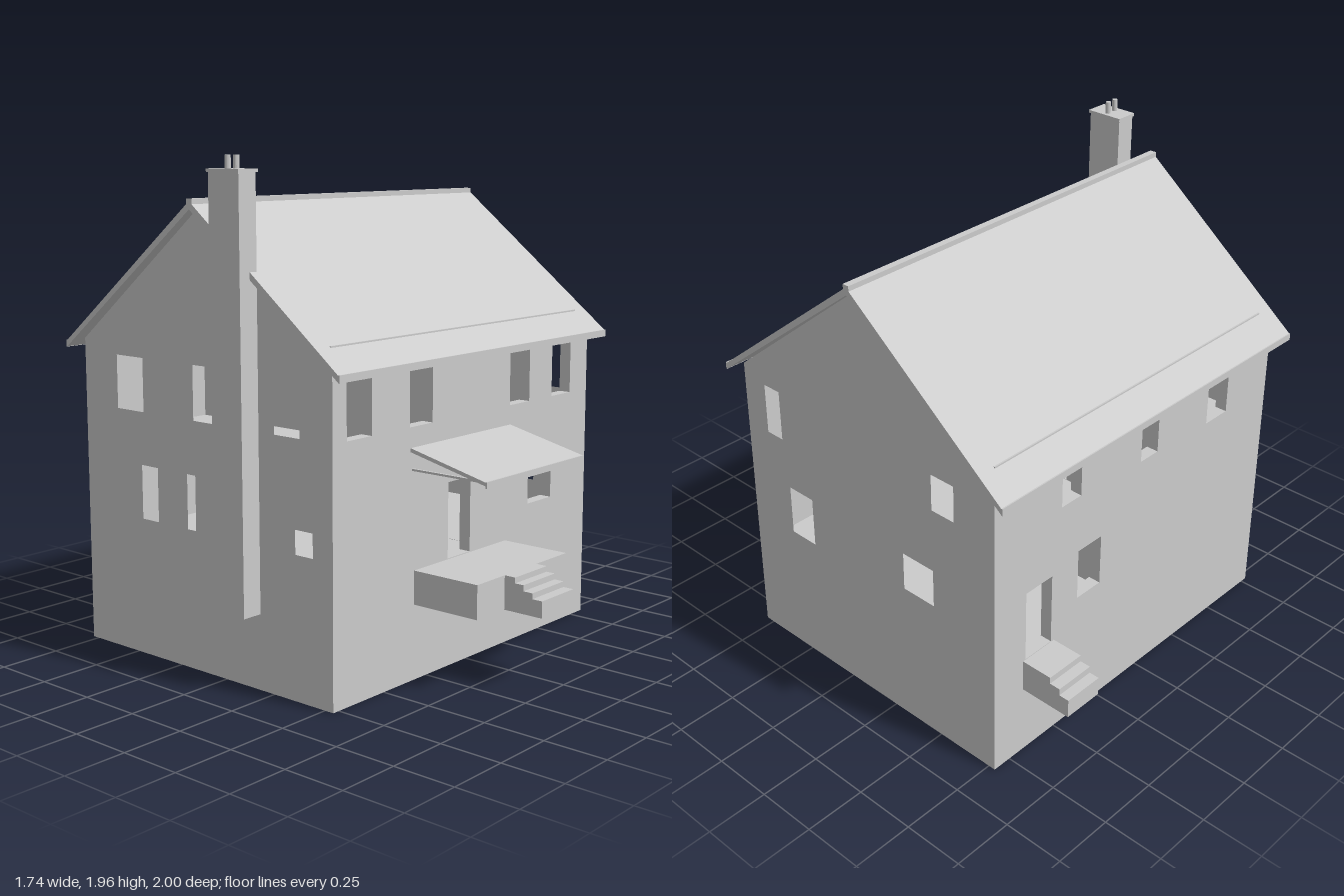
import * as THREE from 'three';

const X0 = -0.78, X1 = 0.83, Z0 = -0.78, Z1 = 0.54, T = 0.05; // wall faces and thickness
const RIDGE_Z = -0.12;

export function createModel() {
  const house = new THREE.Group();
  house.name = 'house';
  const material = new THREE.MeshStandardMaterial({ color: 0xcccccc, flatShading: true });

  const add = (name, geometry) => {
    const mesh = new THREE.Mesh(geometry, material);
    mesh.name = name;
    house.add(mesh);
    return mesh;
  };
  // box given by its limits
  const block = (name, x0, x1, y0, y1, z0, z1) =>
    add(name, new THREE.BoxGeometry(x1 - x0, y1 - y0, z1 - z0))
      .position.set((x0 + x1) / 2, (y0 + y1) / 2, (z0 + z1) / 2);
  // outline with rectangular openings [u0, u1, y0, y1], extruded
  const panel = (points, openings, depth) => {
    const shape = new THREE.Shape(points.map(p => new THREE.Vector2(...p)));
    for (const [a, b, c, d] of openings) {
      shape.holes.push(new THREE.Path([[a, c], [a, d], [b, d], [b, c]].map(p => new THREE.Vector2(...p))));
    }
    return new THREE.ExtrudeGeometry(shape, { depth, bevelEnabled: false });
  };
  // outline in (z, y), extruded from x0 to x1
  const sidePanel = (name, points, openings, x0, x1) => {
    const g = panel(points.map(([z, y]) => [-z, y]), openings.map(([a, b, c, d]) => [-b, -a, c, d]), x1 - x0);
    g.rotateY(Math.PI / 2);
    g.translate(x0, 0, 0);
    add(name, g);
  };

  // front and back walls
  const longWall = [[X0 + T, 0], [X1 - T, 0], [X1 - T, 1.237], [X0 + T, 1.237]];
  const up = [0.975, 1.187], low = [0.55, 0.765], door = [0.43, 0.73];
  add('frontWall', panel(longWall, [
    [-0.705, -0.57, ...up], [-0.355, -0.22, ...up], [0.275, 0.41, ...up], [0.57, 0.705, ...up],
    [0.41, 0.575, ...low], [-0.12, 0.02, ...door],
  ], T)).position.z = Z1 - T;
  add('backWall', panel(longWall, [
    [-0.51, -0.38, ...up], [-0.07, 0.03, 0.99, 1.18], [0.375, 0.48, 1.01, 1.18],
    [0.25, 0.38, ...low], [0.525, 0.665, ...door],
  ], T)).position.z = Z0;

  // gable walls
  const gable = [[Z0, 0], [Z1, 0], [Z1, 1.237], [RIDGE_Z, 1.765], [Z0, 1.237]];
  sidePanel('leftGableWall', gable, [
    [0.34, 0.455, 0.975, 1.185], [-0.585, -0.475, 1.03, 1.18],
    [0.185, 0.315, 0.555, 0.765], [-0.475, -0.32, 0.605, 0.765],
  ], X1 - T, X1);
  sidePanel('rightGableWall', gable, [
    [-0.59, -0.44, ...up], [-0.16, -0.04, ...up], [0.26, 0.385, ...up],
    [-0.456, -0.365, ...low], [-0.2, -0.155, ...low], [0.36, 0.445, ...low],
  ], X0, X0 + T);

  // floors
  const floors = { baseFloor: [0, 0.03], groundFloor: [0.4, 0.43], upperFloor: [0.82, 0.85], atticFloor: [1.2, 1.225] };
  for (const [name, [y0, y1]] of Object.entries(floors)) {
    block(name, X0 + T, X1 - T, y0, y1, Z0 + T, Z1 - T);
  }

  // inner partitions with doorways
  const room = [[Z0 + T, 0.43], [Z1 - T, 0.43], [Z1 - T, 1.2], [Z0 + T, 1.2]];
  const backDoors = [[-0.52, -0.39, 0.851, 1.15], [-0.57, -0.43, 0.431, 0.73]];
  sidePanel('leftPartition', room, [...backDoors, [0.255, 0.395, 0.851, 1.15], [0.305, 0.445, 0.431, 0.73]], 0.12, 0.15);
  sidePanel('rightPartition', room, backDoors, -0.18, -0.15);

  // pitched roof, ridge cap and eave boards
  const RX0 = -0.82, RX1 = 0.865;
  sidePanel('roof', [
    [0.605, 1.225], [RIDGE_Z, 1.795], [-0.845, 1.225],
    [-0.845, 1.2], [RIDGE_Z, 1.765], [0.605, 1.2],
  ], [], RX0, RX1);
  block('ridgeCap', RX0, RX1, 1.782, 1.804, RIDGE_Z - 0.014, RIDGE_Z + 0.014);
  block('frontEaveBoard', RX0, RX1, 1.2, 1.228, 0.603, 0.608);
  block('backEaveBoard', RX0, RX1, 1.2, 1.228, -0.848, -0.843);

  // low snow rails along both slopes
  for (const [name, z] of [['frontSnowRail', 0.5], ['backSnowRail', -0.74]]) {
    block(name, -0.745, 0.79, 1.3, 1.311, z - 0.003, z + 0.003);
  }

  // chimney with cap and two pots
  block('chimney', -0.87, X0 - 0.005, 0.295, 1.905, 0.035, 0.187);
  block('chimneyCap', -0.875, -0.778, 1.903, 1.915, 0.03, 0.192);
  for (const x of [-0.846, -0.804]) {
    const pot = new THREE.CylinderGeometry(0.011, 0.011, 0.055, 16, 1);
    add('chimneyPot', pot).position.set(x, 1.935, 0.111);
  }

  // front porch, front steps and back steps
  block('porch', -0.325, 0.255, 0.295, 0.427, Z1, 0.833);
  sidePanel('frontSteps', [
    [0.833, 0.295], [1, 0.295], [1, 0.36], [0.957, 0.36], [0.957, 0.382], [0.917, 0.382],
    [0.917, 0.405], [0.88, 0.405], [0.88, 0.427], [0.833, 0.427],
  ], [], -0.155, 0.05);
  sidePanel('backSteps', [
    [Z0, 0.295], [Z0, 0.427], [-0.912, 0.427], [-0.912, 0.4], [-0.957, 0.4],
    [-0.957, 0.372], [-1, 0.372], [-1, 0.295],
  ], [], 0.508, 0.678);

  // sloping door canopy with edge board and side struts
  sidePanel('canopy', [[Z1, 0.897], [0.885, 0.817], [0.885, 0.803], [Z1, 0.882]], [], -0.35, 0.28);
  block('canopyEdgeBoard', -0.35, 0.28, 0.795, 0.819, 0.881, 0.887);
  for (const x of [-0.335, 0.265]) {
    block('canopyStrut', x - 0.005, x + 0.005, 0.81, 0.818, Z1, 0.87);
  }

  return house;
}
